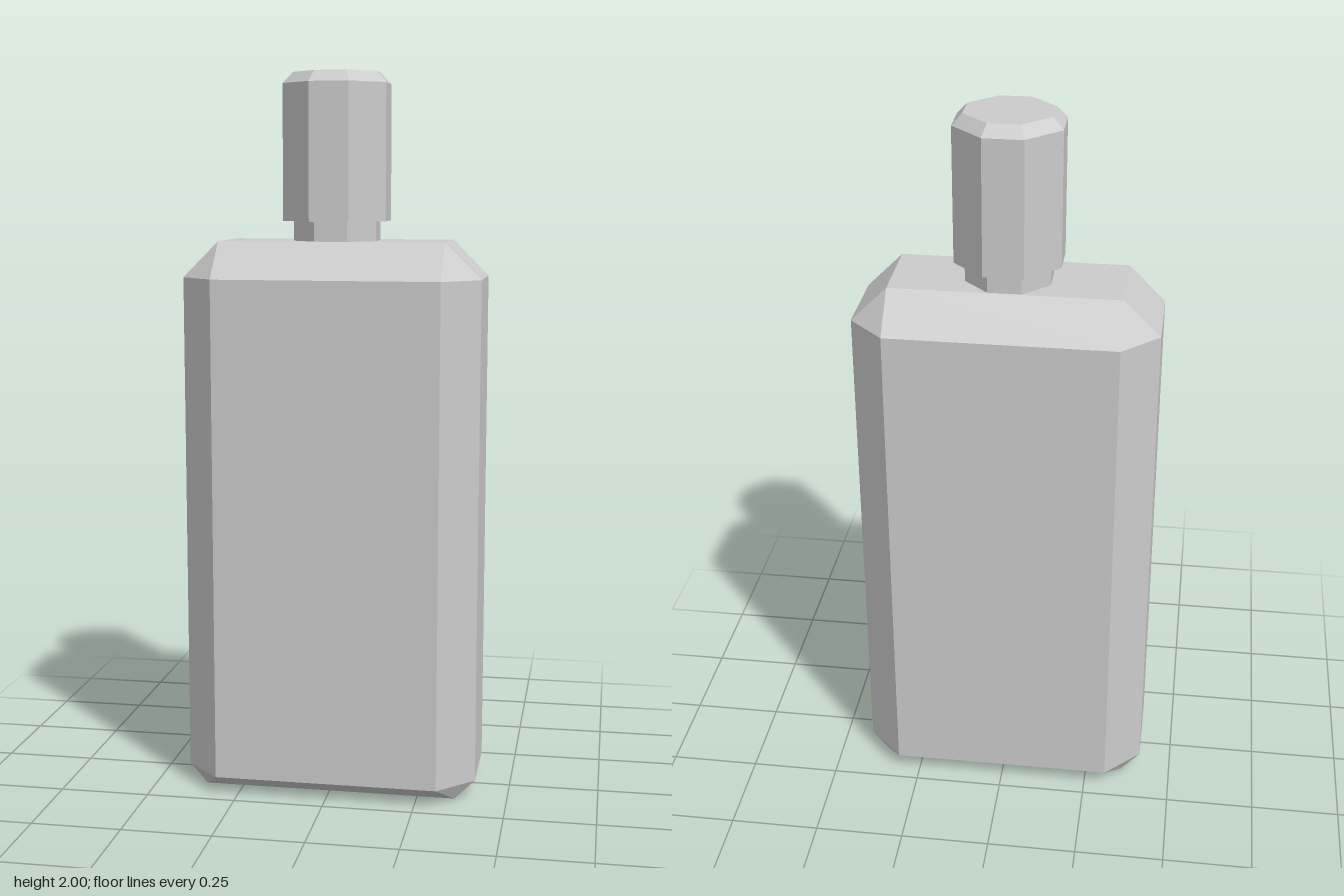
import * as THREE from 'three';

// Eight-sided ring: half extents hx, hz and half lengths fx, fz of the straight sides.
// With fx = hx and fz = hz it collapses to a rectangle.
function ring([y, hx, hz, fx, fz]) {
  return [[hx, fz], [fx, hz], [-fx, hz], [-hx, fz], [-hx, -fz], [-fx, -hz], [fx, -hz], [hx, -fz]]
    .map(([x, z]) => new THREE.Vector3(x, y, z));
}

// Joins rings from bottom to top and closes both ends, with flat facets.
function loft(name, sections) {
  const pos = [];
  const tri = (a, b, c) => {
    if (a.equals(b) || b.equals(c) || c.equals(a)) return;
    for (const p of [a, b, c]) pos.push(p.x, p.y, p.z);
  };
  const rings = sections.map(ring);
  const top = rings[rings.length - 1], base = rings[0];
  for (let r = 0; r < rings.length - 1; r++) {
    const lo = rings[r], hi = rings[r + 1];
    for (let i = 0; i < 8; i++) {
      const j = (i + 1) % 8;
      tri(lo[i], hi[i], hi[j]);
      tri(lo[i], hi[j], lo[j]);
    }
  }
  for (let i = 1; i < 7; i++) {
    tri(base[0], base[i], base[i + 1]);
    tri(top[0], top[i + 1], top[i]);
  }
  const geo = new THREE.BufferGeometry();
  geo.setAttribute('position', new THREE.Float32BufferAttribute(pos, 3));
  geo.computeVertexNormals();
  const mesh = new THREE.Mesh(geo, new THREE.MeshStandardMaterial({ color: 0xcccccc, flatShading: true }));
  mesh.name = name;
  return mesh;
}

export function createModel() {
  const bottle = new THREE.Group();
  bottle.name = 'bottle';

  // Body: bevelled flask with rectangular base and shoulder faces
  bottle.add(loft('body', [
    [0, 0.355, 0.13, 0.355, 0.13],
    [0.05, 0.41, 0.212, 0.311, 0.114],
    [1.447, 0.41, 0.212, 0.311, 0.114],
    [1.546, 0.311, 0.114, 0.311, 0.114],
  ]));

  // Neck: short octagonal stub between shoulder and cap
  bottle.add(loft('neck', [
    [1.54, 0.114, 0.111, 0.045, 0.043],
    [1.61, 0.114, 0.111, 0.045, 0.043],
  ]));

  // Cap: tall octagon with a bevelled top edge
  bottle.add(loft('cap', [
    [1.6, 0.142, 0.138, 0.054, 0.052],
    [1.97, 0.142, 0.138, 0.054, 0.052],
    [2, 0.115, 0.112, 0.043, 0.042],
  ]));

  return bottle;
}
